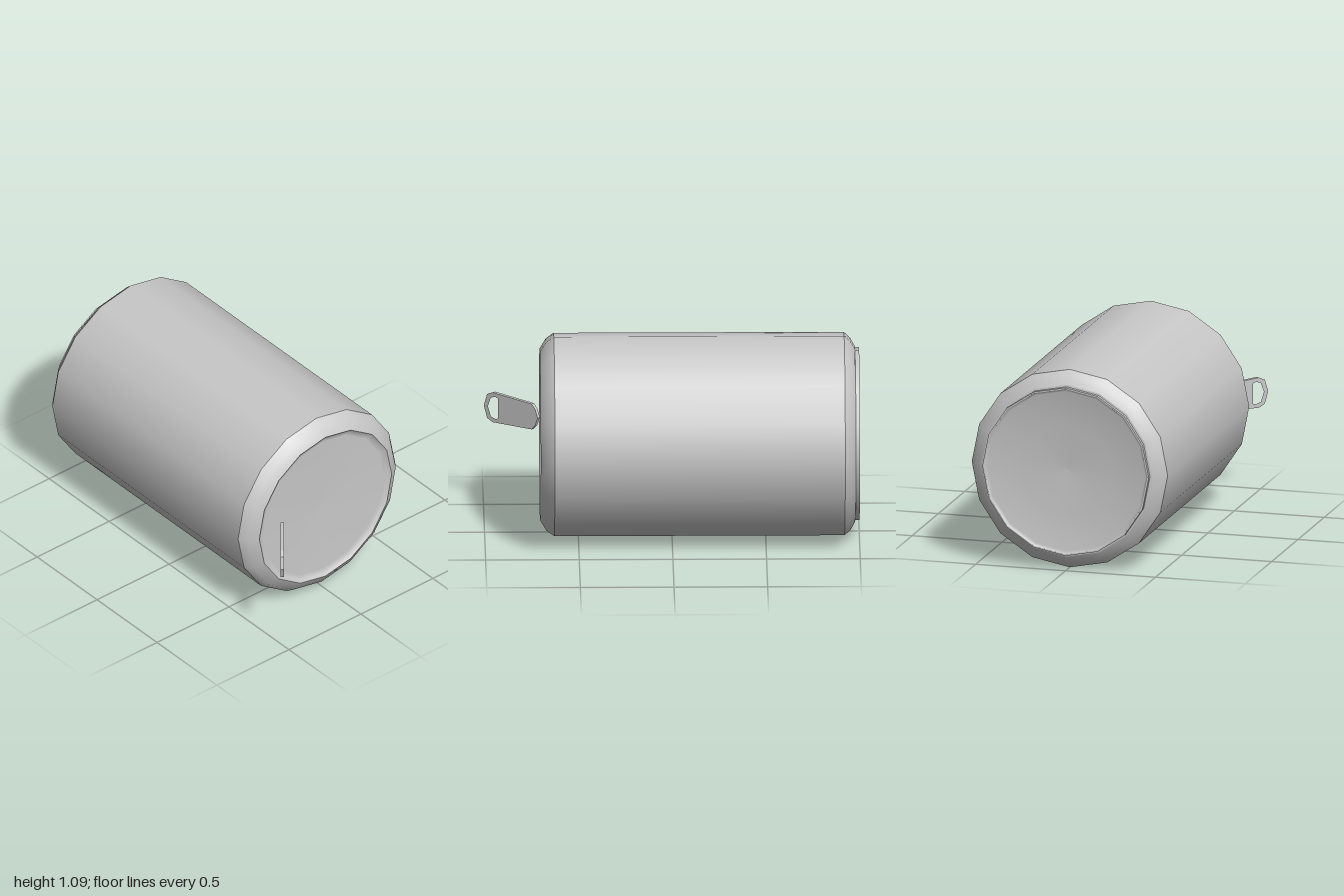
import * as THREE from 'three';

const CENTRE_Y = 0.545;
const SIDES = 16;

export function createModel() {
  const model = new THREE.Group();
  model.name = 'drinkCan';
  const metal = new THREE.MeshStandardMaterial({ color: 0xc8c8c8 });
  metal.name = 'greyMetal';

  // Revolve a [radius, z] profile, listed back to front, about the can's axis
  const can = new THREE.Group();
  can.name = 'can';
  can.rotation.x = Math.PI / 2;
  can.position.y = CENTRE_Y;
  model.add(can);
  const ring = (name, profile) => {
    const points = profile.map(([r, z]) => new THREE.Vector2(r, z));
    const mesh = new THREE.Mesh(new THREE.LatheGeometry(points, SIDES), metal);
    mesh.name = name;
    can.add(mesh);
  };

  // Separate rings keep the creases between them sharp
  ring('base', [[0, -0.95], [0.25, -0.963], [0.44, -0.985], [0.455, -1]]);
  ring('baseRimEdge', [[0.455, -1], [0.463, -1]]);
  ring('baseRim', [[0.463, -1], [0.463, -0.978]]);
  ring('baseStep', [[0.463, -0.978], [0.473, -0.976]]);
  ring('backShoulder', [[0.473, -0.976], [0.515, -0.953], [0.545, -0.92]]);
  ring('body', [[0.545, -0.92], [0.545, 0.63]]);
  ring('frontShoulder', [[0.545, 0.63], [0.515, 0.672], [0.46, 0.705]]);
  ring('lid', [[0.46, 0.705], [0.445, 0.692], [0.42, 0.684], [0, 0.677]]);

  // Raised pull tab: a tapered plate with a finger hole
  const mirrored = (half) => [
    ...half,
    ...half.filter(([, v]) => v > 0).reverse().map(([u, v]) => [u, -v]),
  ].map(([u, v]) => new THREE.Vector2(u, v));
  const outline = new THREE.Shape(mirrored([
    [0, 0], [0.018, 0.045], [0.042, 0.071], [0.31, 0.083], [0.348, 0.066], [0.37, 0],
  ]));
  outline.holes.push(new THREE.Path(mirrored([
    [0.272, 0.056], [0.292, 0.062], [0.322, 0.052], [0.343, 0],
  ])));
  const tab = new THREE.Mesh(
    new THREE.ExtrudeGeometry(outline, { depth: 0.02, bevelEnabled: false }), metal);
  tab.name = 'pullTab';
  tab.position.set(-0.295, CENTRE_Y, 0.713);
  tab.rotation.y = Math.atan2(-0.77, -0.64);
  model.add(tab);

  return model;
}
